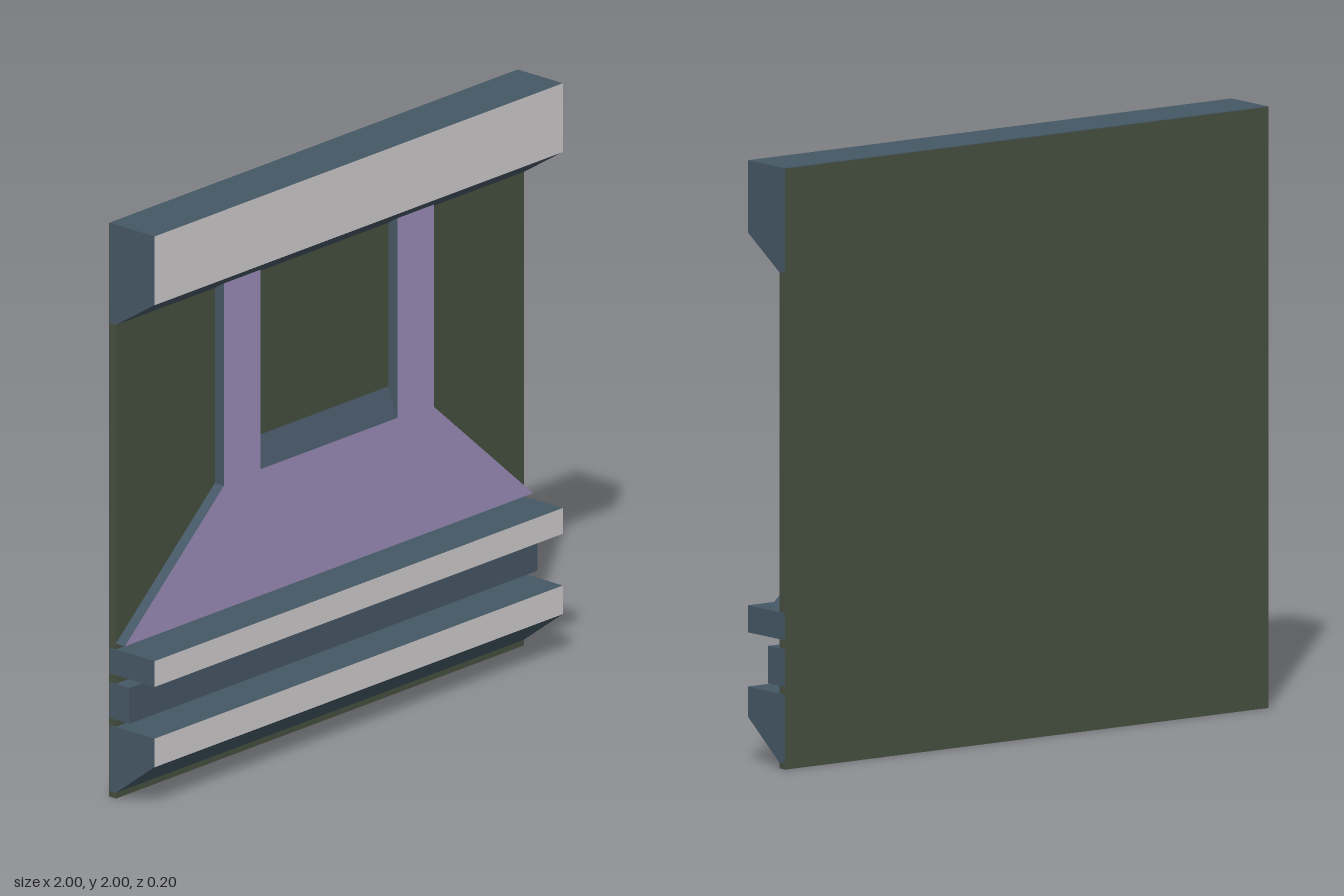
import * as THREE from 'three';

const material = (name, color) => {
  const m = new THREE.MeshStandardMaterial({ color });
  m.name = name;
  return m;
};

const shapeFrom = (points) => new THREE.Shape(points.map(([a, b]) => new THREE.Vector2(a, b)));

export function createModel() {
  const group = new THREE.Group();
  const slate = material('slate', 0x465866);
  const pale = material('pale grey', 0xd2cfd1);
  const purple = material('purple', 0x9f8fbd);
  const green = material('dark green', 0x475040);

  const add = (name, geometry, mat) => {
    const mesh = new THREE.Mesh(geometry, mat);
    mesh.name = name;
    group.add(mesh);
    return mesh;
  };

  // Horizontal moulding: a (z, y) profile swept along x
  const moulding = (name, profile, width = 2) => {
    const g = new THREE.ExtrudeGeometry(shapeFrom(profile), { depth: width, bevelEnabled: false });
    g.rotateY(-Math.PI / 2);
    g.translate(width / 2, 0, 0);
    return add(name, g, slate);
  };

  // Pale facing on the front of a moulding
  const facing = (name, bottom, top) => {
    add(name, new THREE.PlaneGeometry(2, top - bottom), pale).position.set(0, (bottom + top) / 2, 0.101);
  };

  // Backing panel
  add('backPanel', new THREE.BoxGeometry(1.998, 1.998, 0.03), green).position.set(0, 0.999, -0.085);

  // Mouldings, top to bottom
  const back = -0.098;
  moulding('cornice', [[back, 1.65], [-0.07, 1.65], [0.1, 1.76], [0.1, 2], [back, 2]]);
  moulding('upperLedge', [[back, 0.43], [0.1, 0.43], [0.1, 0.52], [back, 0.52]]);
  moulding('middleStrip', [[back, 0.275], [-0.01, 0.275], [-0.01, 0.4], [back, 0.4]]);
  moulding('lowerLedge', [[back, 0.02], [-0.07, 0.02], [0.1, 0.15], [0.1, 0.25], [back, 0.25]]);
  facing('corniceFacing', 1.76, 2);
  facing('upperLedgeFacing', 0.43, 0.52);
  facing('lowerLedgeFacing', 0.15, 0.25);

  // Raised relief: flared base with two uprights, mirrored about x = 0
  const half = [[1, 0.54], [0.515, 0.97], [0.515, 1.675], [0.335, 1.675], [0.335, 0.98]];
  const outline = [...half, ...half.map(([x, y]) => [-x, y]).reverse()];
  const relief = new THREE.ExtrudeGeometry(shapeFrom(outline), { depth: 0.042, bevelEnabled: false });
  relief.translate(0, 0, -0.072);
  add('relief', relief, [purple, slate]);

  // Sloping sill between the uprights
  moulding('sill', [[-0.072, 0.975], [-0.03, 0.98], [-0.07, 1.08], [-0.072, 1.08]], 0.67);

  return group;
}
